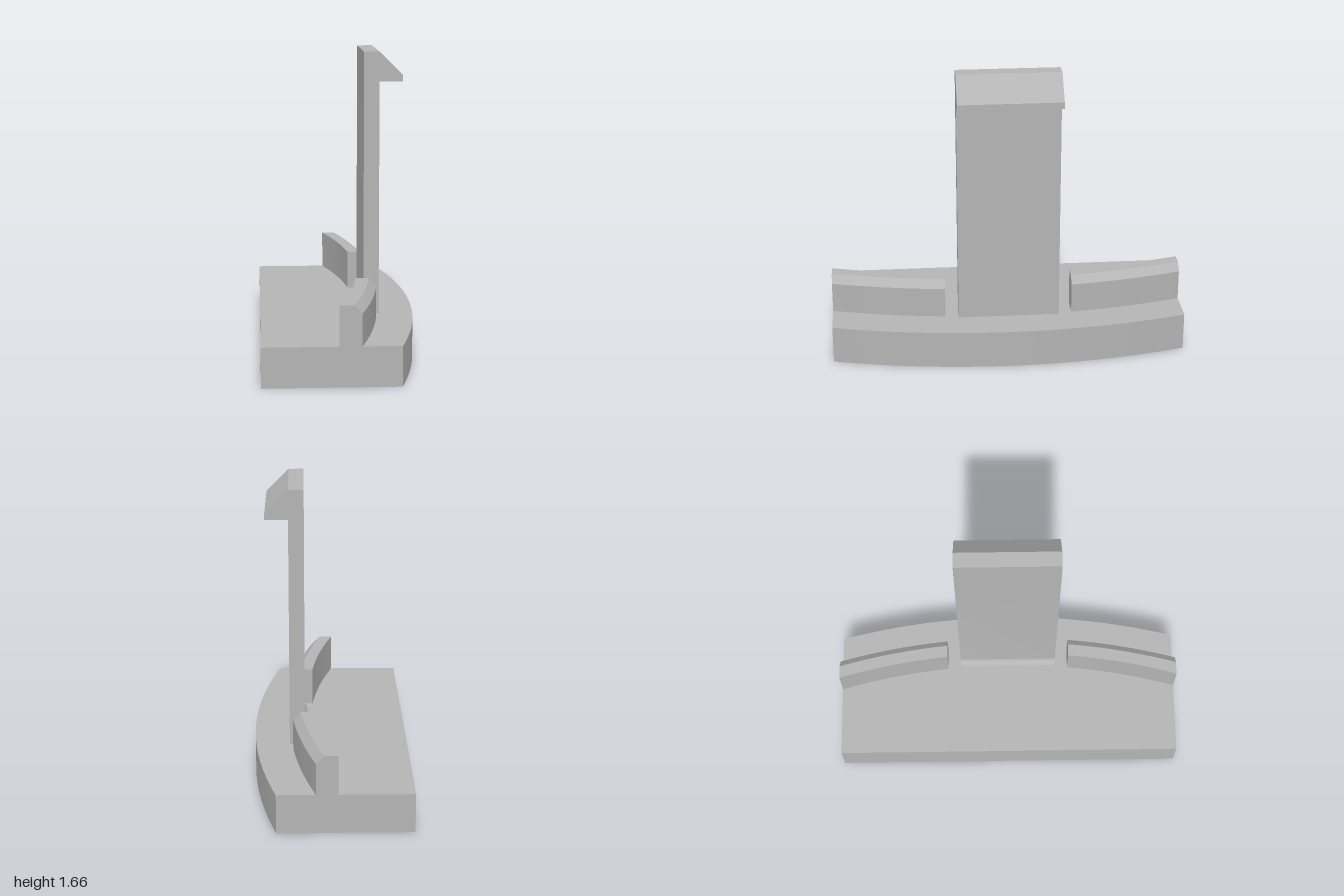
import * as THREE from 'three';
import { toCreasedNormals } from 'three/addons/utils/BufferGeometryUtils.js';

const AXIS_X = -3.483; // shared centre of the curved faces
const BASE_TOP = 0.215;
const arcX = (radius, z) => AXIS_X + Math.sqrt(radius * radius - z * z);

// Sweep a counter-clockwise xy outline, which may vary with z, from z0 to z1
function sweep(outlineAt, z0, z1, steps) {
  const pos = [], index = [];
  const count = outlineAt(z0).length;
  for (let i = 0; i <= steps; i++) {
    const z = z0 + (z1 - z0) * i / steps;
    for (const [x, y] of outlineAt(z)) pos.push(x, y, z);
  }
  for (let i = 0; i < steps; i++) {
    for (let j = 0; j < count; j++) {
      const a = i * count + j, b = i * count + (j + 1) % count;
      index.push(a, b, b + count, a, b + count, a + count);
    }
  }
  // flat end caps
  const outline = outlineAt(z0).map(([x, y]) => new THREE.Vector2(x, y));
  const last = steps * count;
  for (const [a, b, c] of THREE.ShapeUtils.triangulateShape(outline, [])) {
    index.push(c, b, a, last + a, last + b, last + c);
  }
  const geometry = new THREE.BufferGeometry();
  geometry.setAttribute('position', new THREE.Float32BufferAttribute(pos, 3));
  geometry.setIndex(index);
  return toCreasedNormals(geometry, 0.4);
}

export function createModel() {
  const group = new THREE.Group();
  const grey = new THREE.MeshStandardMaterial({ color: 0xb4b4b4 });
  grey.name = 'grey';
  const add = (name, geometry) => {
    const mesh = new THREE.Mesh(geometry, grey);
    mesh.name = name;
    group.add(mesh);
  };

  // Base plate with one bowed long side
  add('base', sweep((z) => {
    const x = arcX(3.911, z);
    return [[-0.428, 0], [x, 0], [x, BASE_TOP], [-0.428, BASE_TOP]];
  }, -1, 1, 48));

  // Curved rails, chamfered along the outer top edge
  const rail = (z) => {
    const inner = arcX(3.598, z), outer = arcX(3.711, z), edge = arcX(3.668, z);
    return [[inner, BASE_TOP], [outer, BASE_TOP], [outer, 0.388], [edge, 0.43], [inner, 0.43]];
  };
  add('frontRail', sweep(rail, 0.36, 1, 20));
  add('backRail', sweep(rail, -1, -0.36, 20));

  // Upright clip with a hooked top and a fillet at its foot
  const clip = [[0.23, BASE_TOP], [0.23, 1.503], [0.357, 1.503], [0.357, 1.538], [0.23, 1.665], [0.145, 1.665]];
  const r = 0.036;
  for (let i = 0; i <= 8; i++) {
    const t = i / 8 * Math.PI / 2;
    clip.push([0.145 - r + r * Math.cos(t), BASE_TOP + r - r * Math.sin(t)]);
  }
  add('clip', sweep(() => clip, -0.286, 0.286, 1));

  return group;
}
